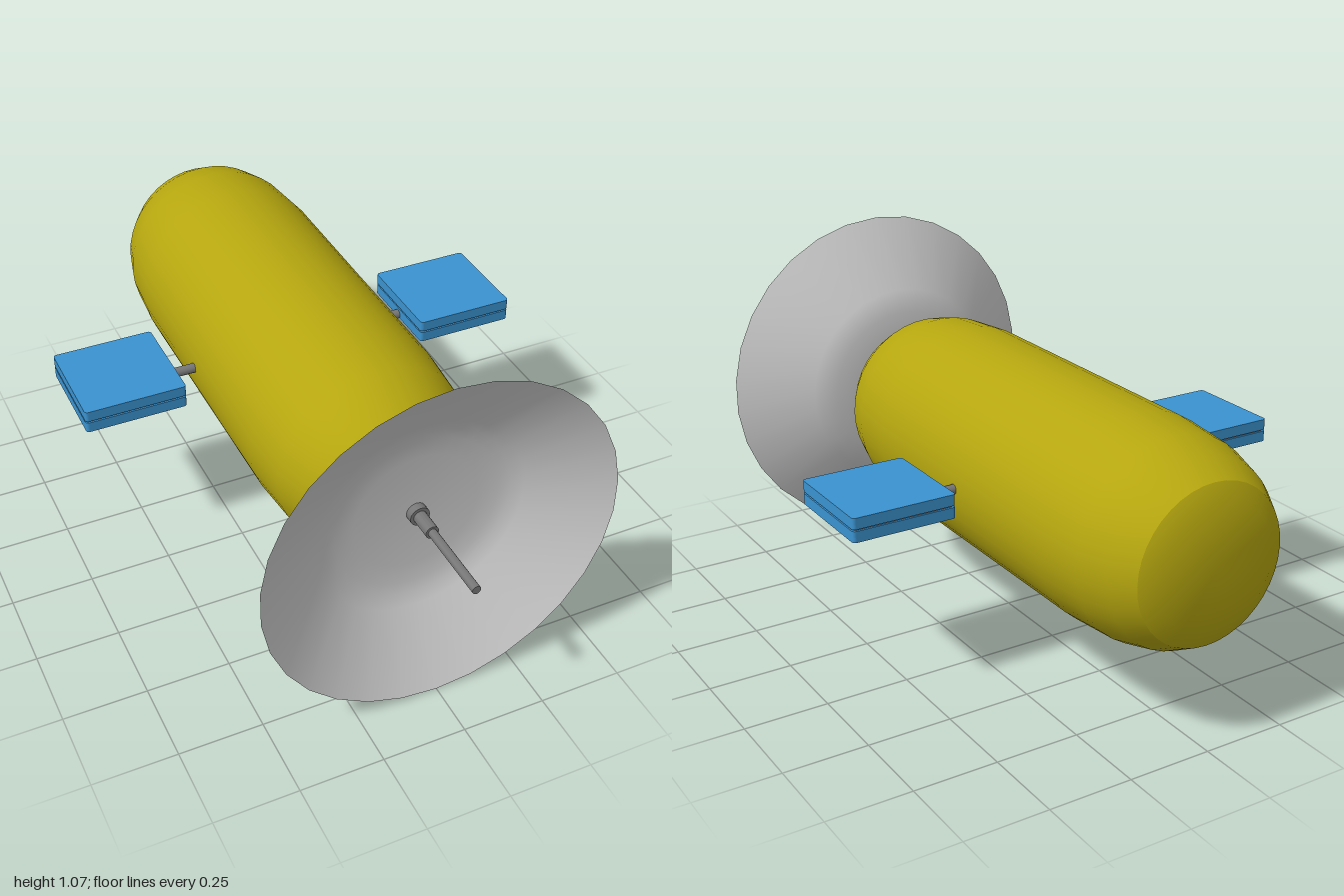
import * as THREE from 'three';
import { toCreasedNormals } from 'three/addons/utils/BufferGeometryUtils.js';

const AXIS_Y = 0.54;
const paint = (color) => new THREE.MeshStandardMaterial({ color, side: THREE.DoubleSide });

export function createModel() {
  const model = new THREE.Group();
  const yellow = paint(0xb5a60f), blue = paint(0x3a92cf), grey = paint(0xcccccc), dark = paint(0x777777);

  // Turned part along z; profile is a list of [radius, z]
  function turned(name, profile, material, crease, sides = 30) {
    const points = profile.map(([r, z]) => new THREE.Vector2(r, z));
    const geometry = toCreasedNormals(new THREE.LatheGeometry(points, sides).rotateX(Math.PI / 2), crease);
    const mesh = new THREE.Mesh(geometry, material);
    mesh.name = name;
    mesh.position.y = AXIS_Y;
    model.add(mesh);
  }

  // Body: long tank with the same rounded shoulder at both ends
  const shoulder = [[0.31, 0.44], [0.297, 0.6], [0.27, 0.7], [0.23, 0.772], [0.18, 0.8], [0, 0.8]];
  const front = shoulder.map(([r, d]) => [r, d - 0.2]);
  const back = shoulder.map(([r, d]) => [r, -d - 0.2]).reverse();
  turned('body', [...back, ...front], yellow, 0.53, 40);

  // Dish: thin shell, outside from centre to rim, then back along the inside
  turned('dish', [
    [0, 0.65], [0.1, 0.651], [0.19, 0.656], [0.25, 0.664], [0.29, 0.675], [0.32, 0.69], [0.535, 0.835],
    [0.32, 0.698], [0.285, 0.682], [0.25, 0.673], [0.19, 0.666], [0, 0.666],
  ], grey, 0.6);

  // Hub and stepped antenna through the dish
  turned('antenna', [
    [0, 0.58], [0.03, 0.58], [0.03, 0.69], [0.02, 0.69], [0.02, 0.76],
    [0.013, 0.76], [0.013, 1], [0, 1],
  ], dark, 0.6, 16);

  // Flat slab with slightly rounded corners in plan
  function slab(size, height, y, material) {
    const h = size / 2, c = 0.01;
    const shape = new THREE.Shape();
    shape.moveTo(-h + c, -h);
    for (let i = 0; i < 4; i++) {
      const a = -Math.PI / 2 + i * Math.PI / 2;
      const cx = (i === 0 || i === 1) ? h - c : -h + c;
      const cy = (i === 1 || i === 2) ? h - c : -h + c;
      shape.absarc(cx, cy, c, a, a + Math.PI / 2, false);
    }
    const geometry = new THREE.ExtrudeGeometry(shape, { depth: height, bevelEnabled: false, curveSegments: 3 });
    geometry.rotateX(-Math.PI / 2);
    const mesh = new THREE.Mesh(geometry, material);
    mesh.position.y = y;
    return mesh;
  }

  // Side pods: two slabs with a recessed core, held by a thin arm
  for (const side of [1, -1]) {
    const pod = new THREE.Group();
    pod.name = side > 0 ? 'leftPod' : 'rightPod';
    pod.position.set(side * 0.547, 0, -0.203);
    pod.add(slab(0.312, 0.033, 0.53, blue), slab(0.312, 0.033, 0.568, blue), slab(0.3, 0.02, 0.555, dark));
    model.add(pod);

    const arm = new THREE.Mesh(new THREE.CylinderGeometry(0.015, 0.015, 0.14, 12), dark);
    arm.name = side > 0 ? 'leftArm' : 'rightArm';
    arm.rotation.z = Math.PI / 2;
    arm.position.set(side * 0.345, AXIS_Y, -0.203);
    model.add(arm);
  }

  return model;
}
